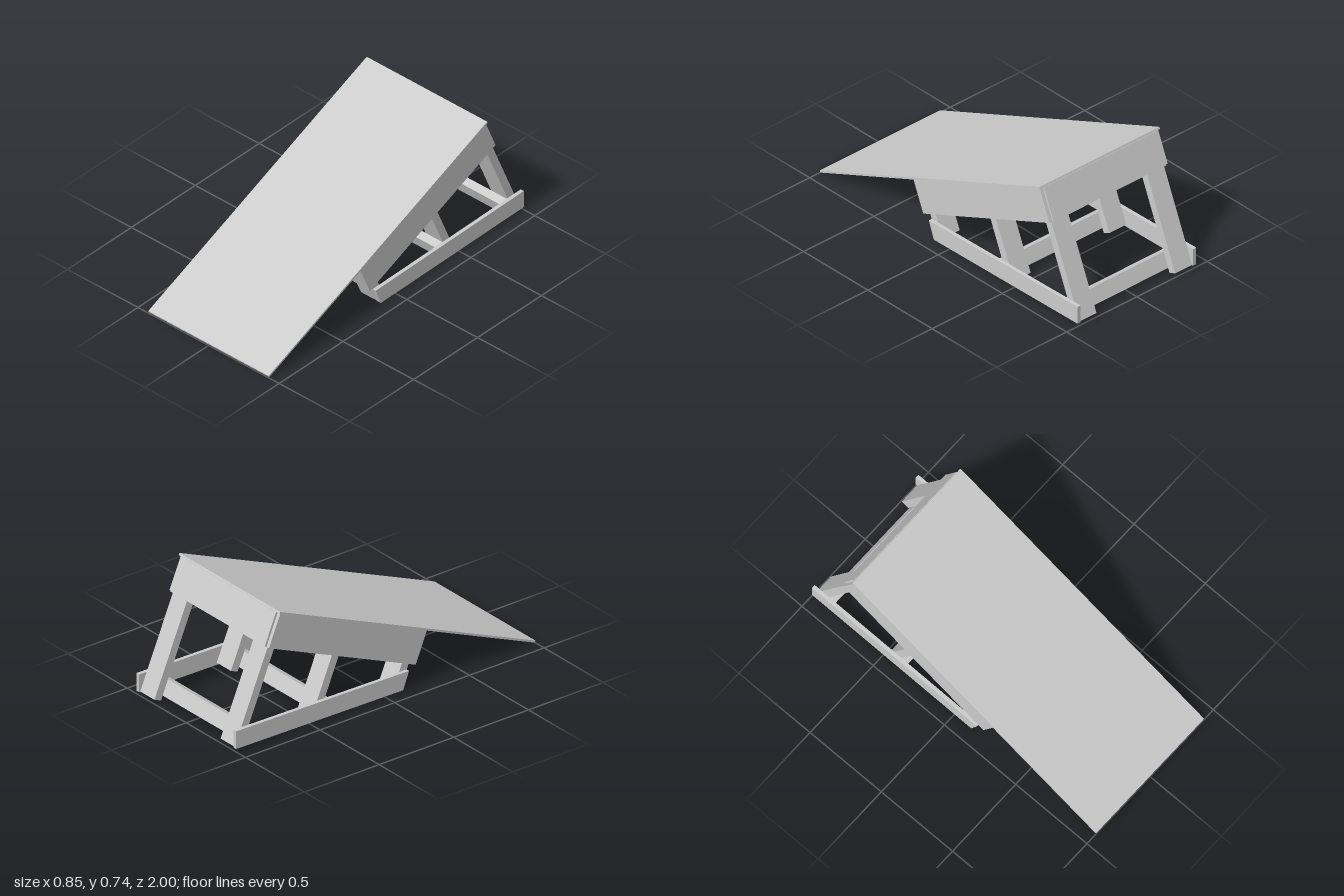
import * as THREE from 'three';

export function createModel() {
  const model = new THREE.Group();
  model.name = 'ramp';
  const mat = new THREE.MeshStandardMaterial({ color: 0xcccccc, flatShading: true });

  // Tilted frame: -z runs up the slope from the front edge, y = 0 is the deck underside
  const tilted = new THREE.Group();
  tilted.name = 'tiltedFrame';
  tilted.position.set(0, 0.005, 0.996);
  tilted.rotation.x = Math.atan2(0.39, 0.9208);
  model.add(tilted);

  // Box given by its x range, its range up the slope and its height range
  function plank(name, [x0, x1], [s0, s1], [y0, y1]) {
    const mesh = new THREE.Mesh(new THREE.BoxGeometry(x1 - x0, y1 - y0, s1 - s0), mat);
    mesh.position.set((x0 + x1) / 2, (y0 + y1) / 2, -(s0 + s1) / 2);
    mesh.name = name;
    tilted.add(mesh);
  }

  // Deck board
  plank('deck', [-0.427, 0.427], [0, 1.856], [0, 0.012]);

  // Box frame under the deck
  plank('frontPanel', [-0.4, 0.4], [0.784, 0.81], [-0.195, 0]);
  plank('backPanel', [-0.4, 0.4], [1.837, 1.859], [-0.195, 0]);
  plank('middleJoist', [-0.4, 0.4], [1.272, 1.319], [-0.12, 0]);

  // Cross beams near the ground, in front of the legs
  plank('middleBeam', [-0.4, 0.4], [1.272, 1.319], [-0.53, -0.44]);
  plank('backBeam', [-0.4, 0.4], [1.742, 1.789], [-0.732, -0.64]);

  // Outline of the base rail in side view, as (-z, y)
  const outline = new THREE.Shape([
    [-0.118, 0.006], [1, 0.02], [1, 0.125], [-0.158, 0.108],
  ].map(([u, v]) => new THREE.Vector2(u, v)));
  const baseGeometry = new THREE.ExtrudeGeometry(outline, { depth: 0.022, bevelEnabled: false });
  baseGeometry.rotateY(Math.PI / 2);

  for (const side of [-1, 1]) {
    const span = (a, b) => (side > 0 ? [a, b] : [-b, -a]);

    // Side rail of the box frame
    plank('sideRail', span(0.4, 0.421), [0.779, 1.846], [-0.195, 0]);

    // Three legs square to the deck: start up the slope, lower end
    for (const [name, s, bottom] of [
      ['frontLeg', 0.81, -0.341],
      ['middleLeg', 1.319, -0.556],
      ['backLeg', 1.789, -0.76],
    ]) plank(name, span(0.28, 0.4), [s, s + 0.048], [bottom, 0]);

    // Base rail tying the legs together
    const base = new THREE.Mesh(baseGeometry, mat);
    base.name = 'baseRail';
    base.position.x = side > 0 ? 0.4 : -0.422;
    model.add(base);
  }
  return model;
}
